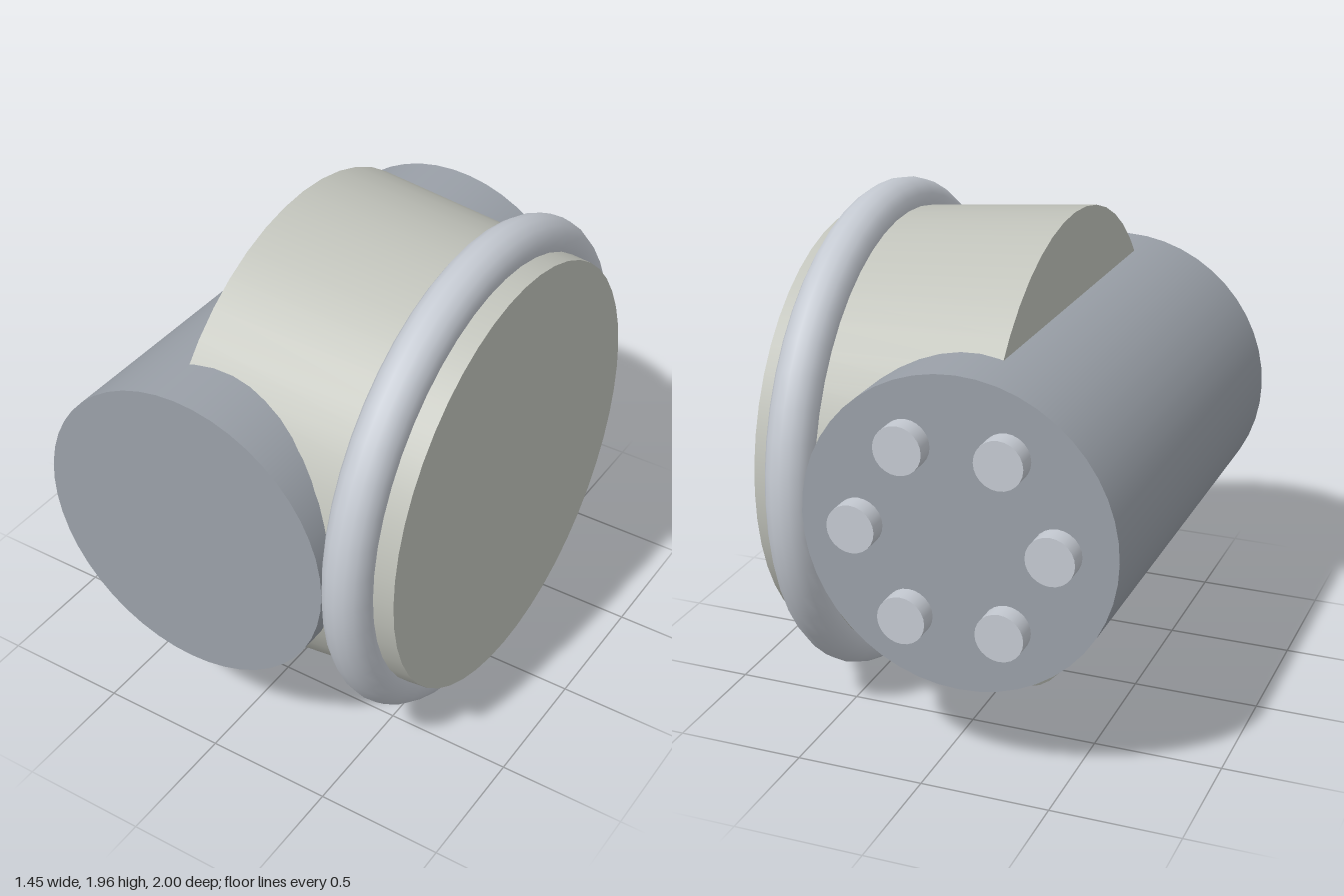
import * as THREE from 'three';

export function createModel() {
  const group = new THREE.Group();
  const midY = 0.98, midZ = 0.02, barrelX = -0.122;

  const bodyMat = new THREE.MeshStandardMaterial({ color: 0x9aa0a8 });
  const drumMat = new THREE.MeshStandardMaterial({ color: 0xc0c2ba });
  const ringMat = new THREE.MeshStandardMaterial({ color: 0xc4c9d1 });

  const add = (name, geometry, material, x, y, z) => {
    const mesh = new THREE.Mesh(geometry, material);
    mesh.name = name;
    mesh.position.set(x, y, z);
    group.add(mesh);
    return mesh;
  };

  // Horizontal barrel running front to back
  const barrel = new THREE.CylinderGeometry(0.602, 0.602, 1.885, 48).rotateX(Math.PI / 2);
  add('barrel', barrel, bodyMat, barrelX, midY, 0.0175);

  // Tapered drum pointing sideways, wide end against the barrel
  const drum = new THREE.CylinderGeometry(0.94, 0.852, 0.937, 48).rotateZ(Math.PI / 2);
  add('taperedDrum', drum, drumMat, 0.2535, midY, midZ);

  // Round bumper ring around the narrow end of the drum
  const ring = new THREE.TorusGeometry(0.887, 0.093, 16, 48).rotateY(Math.PI / 2);
  add('bumperRing', ring, ringMat, 0.555, midY, midZ);

  // Six studs in a circle on the back of the barrel
  const stud = new THREE.CylinderGeometry(0.092, 0.092, 0.095, 24).rotateX(Math.PI / 2);
  for (let i = 0; i < 6; i++) {
    const a = (i * Math.PI) / 3;
    add('stud' + (i + 1), stud, ringMat,
      barrelX + 0.376 * Math.cos(a), midY + 0.376 * Math.sin(a), -0.9525);
  }

  return group;
}
